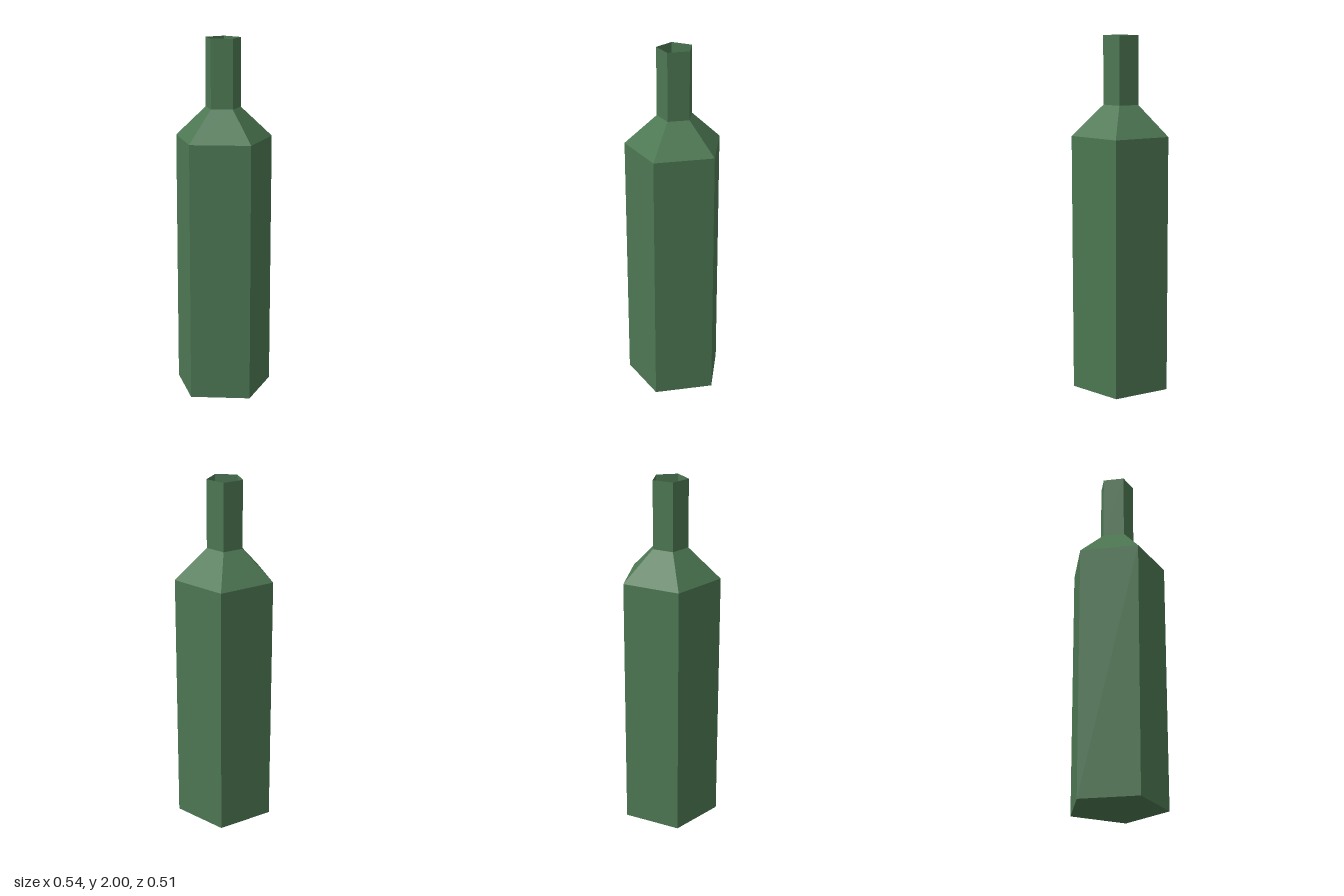
import * as THREE from 'three';

const SIDES = 5;
const BODY_RADIUS = 0.282;
const NECK_RADIUS = 0.102;
const CENTRE_Z = 0.026; // centres the pentagon's bounds on z = 0

export function createModel() {
  const bottle = new THREE.Group();
  bottle.name = 'bottle';

  const glass = new THREE.MeshStandardMaterial({ color: 0x4c7752, flatShading: true, side: THREE.DoubleSide });
  glass.name = 'green glass';

  const add = (name, geometry, y) => {
    const mesh = new THREE.Mesh(geometry, glass);
    mesh.name = name;
    mesh.position.set(0, y, CENTRE_Z);
    bottle.add(mesh);
  };

  // Thin open wall between two heights, with one corner at the back
  const addWall = (name, bottomRadius, topRadius, y0, y1) =>
    add(name, new THREE.CylinderGeometry(topRadius, bottomRadius, y1 - y0, SIDES, 1, true, Math.PI), (y0 + y1) / 2);

  addWall('body', BODY_RADIUS, BODY_RADIUS, 0, 1.45);
  addWall('shoulder', BODY_RADIUS, NECK_RADIUS, 1.45, 1.62);
  addWall('neck', NECK_RADIUS, NECK_RADIUS, 1.62, 2);

  // Base, visible from below and through the open neck
  add('base', new THREE.CircleGeometry(BODY_RADIUS, SIDES, -Math.PI / 2).rotateX(Math.PI / 2), 0);

  return bottle;
}
